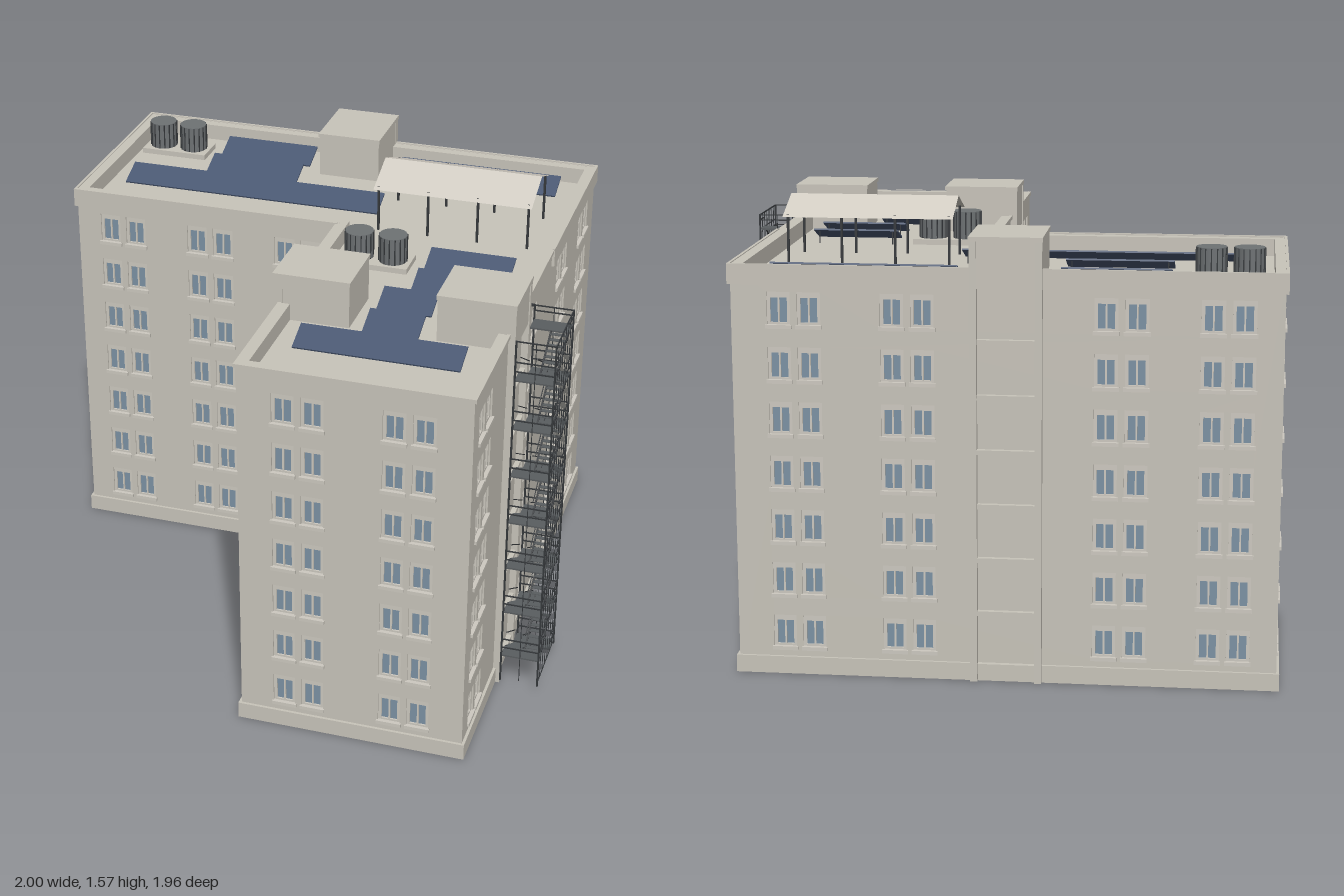
import * as THREE from 'three';
import { mergeGeometries } from 'three/addons/utils/BufferGeometryUtils.js';

const mat = (name, color, side = THREE.FrontSide) =>
  Object.assign(new THREE.MeshStandardMaterial({ color, side }), { name });

// plan limits of the L-shaped block
const L = -0.99, R = 0.83, B = -0.957, F = 0.97, CX = 0.035, CZ = -0.165;
const TOP = 1.405, ROOF = 1.345, FLOORS = 7, PITCH = 0.1855, WALL = 0.035;

export function createModel() {
  const M = {
    wall: mat('wall plaster', 0xc8c4ba),
    trim: mat('window trim', 0xcdc9c0),
    glass: mat('window glass', 0x7c92a4, THREE.DoubleSide),
    solar: mat('solar blue', 0x4a5872),
    tank: mat('tank grey', 0x6e7274),
    tread: mat('stair tread', 0x5a5e60),
    steel: mat('dark steel', 0x36393c),
    sheet: mat('canopy sheet', 0xd2cdc3, THREE.DoubleSide),
  };
  const root = new THREE.Group();
  root.name = 'apartmentBlock';
  const add = (name, geo, m, parent = root) => {
    const mesh = new THREE.Mesh(geo, m);
    mesh.name = name;
    parent.add(mesh);
    return mesh;
  };
  // box from its limits
  const span = (x0, x1, y0, y1, z0, z1) =>
    new THREE.BoxGeometry(x1 - x0, y1 - y0, z1 - z0)
      .translate((x0 + x1) / 2, (y0 + y1) / 2, (z0 + z1) / 2);
  // square bar between two points
  const bar = (a, b, r = 0.002) => {
    const p = new THREE.Vector3(...a), q = new THREE.Vector3(...b), d = q.clone().sub(p);
    const rot = new THREE.Quaternion().setFromUnitVectors(new THREE.Vector3(0, 1, 0), d.clone().normalize());
    return new THREE.BoxGeometry(r * 2, d.length(), r * 2).applyQuaternion(rot)
      .translate((p.x + q.x) / 2, (p.y + q.y) / 2, (p.z + q.z) / 2);
  };
  const rect = (T, x0, x1, y0, y1) => {
    const s = new T();
    s.moveTo(x0, y0); s.lineTo(x1, y0); s.lineTo(x1, y1); s.lineTo(x0, y1); s.closePath();
    return s;
  };
  const flat = (s, depth) => new THREE.ExtrudeGeometry(s, { depth, bevelEnabled: false });

  // window frame with two panes, origin at its lower middle
  const frameShape = rect(THREE.Shape, -0.039, 0.039, 0, 0.12);
  for (const s of [-1, 1]) {
    const c = s * 0.0155;
    frameShape.holes.push(rect(THREE.Path, c - 0.0125, c + 0.0125, 0.017, 0.1));
  }
  const frameGeo = flat(frameShape, 0.012).translate(0, 0, -0.018);
  const sillGeo = span(-0.044, 0.044, -0.003, 0.01, -0.012, 0.008);
  const glassGeo = span(-0.032, 0.032, 0.01, 0.108, -0.016, -0.012);

  // wall in its own frame: outside faces local +z, pairs are window pair centres
  const wall = (name, x, z, rotY, u0, u1, pairs, skip = () => false) => {
    const g = new THREE.Group();
    g.name = name;
    g.position.set(x, 0, z);
    g.rotation.y = rotY;
    root.add(g);
    const shape = rect(THREE.Shape, u0, u1, 0, TOP);
    const frames = [], sills = [], panes = [];
    for (let f = 0; f < FLOORS; f++) {
      for (const p of pairs) for (const s of [-1, 1]) {
        const u = p + s * 0.0505, y = 0.085 + f * PITCH;
        if (skip(u, f)) continue;
        shape.holes.push(rect(THREE.Path, u - 0.039, u + 0.039, y, y + 0.12));
        frames.push(frameGeo.clone().translate(u, y, 0));
        sills.push(sillGeo.clone().translate(u, y, 0));
        panes.push(glassGeo.clone().translate(u, y, 0));
      }
    }
    add('wallPanel', flat(shape, WALL).translate(0, 0, -WALL), M.wall, g);
    add('windowFrames', mergeGeometries(frames), M.trim, g);
    add('windowSills', mergeGeometries(sills), M.trim, g);
    add('windowGlass', mergeGeometries(panes), M.glass, g);
    return g;
  };
  const H = Math.PI / 2;
  wall('frontWall', 0, F, 0, CX, R, [0.243, 0.62]);
  wall('courtFrontWall', 0, CZ, 0, L, CX + WALL, [-0.81, -0.463, -0.12], (u, f) => f === 0 && u > -0.1);
  const right = wall('rightWall', R, 0, H, -F, -B, [-0.807, -0.148, 0.367, 0.752]);
  const back = wall('backWall', 0, B, Math.PI, -R, -L, [-0.62, -0.243, 0.463, 0.81]);
  wall('leftWall', L, 0, -H, B, CZ, [-0.752, -0.367]);
  const court = wall('courtSideWall', CX, 0, -H, CZ, F, [0.148, 0.807]);

  // service shafts: pilasters, floor ledges and roof housing
  const shaft = (g, u) => {
    const parts = [-1, 1].map(s => span(u + s * 0.108 - 0.012, u + s * 0.108 + 0.012, 0, 1.5, -0.01, 0.024));
    for (let f = 0; f <= FLOORS; f++) {
      const y = 0.045 + f * PITCH;
      parts.push(span(u - 0.1, u + 0.1, y, y + 0.016, -0.01, 0.018));
    }
    add('shaftPilasters', mergeGeometries(parts), M.wall, g);
    add('roofHousing', span(u - 0.118, u + 0.118, ROOF, 1.5, -0.245, 0.02), M.wall, g);
    add('housingCap', span(u - 0.122, u + 0.122, 1.5, 1.515, -0.249, 0.026), M.wall, g);
  };
  shaft(right, -0.39);
  shaft(court, 0.39);
  shaft(back, 0.085);

  // roof decks
  add('backRoof', span(L + 0.01, R - 0.01, ROOF - 0.015, ROOF, B + 0.01, CZ - 0.01), M.wall);
  add('frontRoof', span(CX + 0.01, R - 0.01, ROOF - 0.015, ROOF, CZ - 0.01, F - 0.01), M.wall);

  // plinth and parapet lip follow the L plan
  const outline = (T, o) => {
    const s = new T();
    [[L - o, B - o], [R + o, B - o], [R + o, F + o], [CX - o, F + o], [CX - o, CZ + o], [L - o, CZ + o]]
      .forEach(([x, z], i) => (i ? s.lineTo(x, -z) : s.moveTo(x, -z)));
    s.closePath();
    return s;
  };
  const ring = (name, out, y0, y1) => {
    const s = outline(THREE.Shape, out);
    s.holes.push(outline(THREE.Path, -0.005));
    add(name, flat(s, y1 - y0).rotateX(-H).translate(0, y0, 0), M.wall);
  };
  ring('plinth', 0.01, 0, 0.06);
  ring('parapetLip', 0.007, 1.394, 1.408);
  const band = [[L - 0.01, R + 0.01, B - 0.01, B], [L - 0.01, L, B, CZ], [R, R + 0.01, B, CZ - 0.01],
    [L - 0.01, CX, CZ, CZ + 0.01]];
  add('corniceBand', mergeGeometries(band.map(([x0, x1, z0, z1]) => span(x0, x1, 1.342, 1.411, z0, z1))), M.wall);

  // corner entrance: steps, canopy, posts and door
  add('entranceSteps', mergeGeometries([span(-0.115, CX, 0, 0.035, CZ, -0.1), span(-0.025, CX, 0, 0.035, -0.1, -0.02),
    span(-0.095, CX, 0.035, 0.065, CZ, -0.11)]), M.wall);
  add('entranceCanopy', mergeGeometries([span(-0.125, CX, 0.197, 0.212, CZ, -0.1),
    span(-0.025, CX, 0.197, 0.212, -0.1, -0.02)]), M.wall);
  add('entrancePosts', mergeGeometries([bar([-0.09, 0.06, -0.112], [-0.09, 0.2, -0.112], 0.003),
    bar([-0.015, 0.03, -0.03], [-0.015, 0.2, -0.03], 0.003)]), M.steel);
  add('entranceDoor', span(-0.085, 0.02, 0.065, 0.19, CZ, CZ + 0.006), M.trim);

  // solar panels, low edge to the front: x0, x1, z0, z1
  const panels = [[-0.62, -0.255, -0.85, -0.745], [-0.62, -0.255, -0.67, -0.567], [-0.885, 0.12, -0.495, -0.39],
    [0.09, 0.72, -0.85, -0.745], [0.41, 0.72, -0.09, 0.018], [0.41, 0.72, 0.09, 0.195],
    [0.335, 0.53, 0.265, 0.367], [0.335, 0.53, 0.44, 0.545], [0.145, 0.72, 0.617, 0.72]];
  const sheets = [], legs = [];
  for (const [x0, x1, z0, z1] of panels) {
    sheets.push(new THREE.BoxGeometry(x1 - x0, 0.006, 0.11).rotateX(0.37)
      .translate((x0 + x1) / 2, 1.377, (z0 + z1) / 2));
    for (const x of [x0 + 0.02, x1 - 0.02]) legs.push(bar([x, ROOF, z0 + 0.012], [x, 1.39, z0 + 0.012]));
  }
  add('solarPanels', mergeGeometries(sheets), M.solar);
  add('solarLegs', mergeGeometries(legs), M.steel);

  // water tanks with upright ribs, on low bases
  for (const [x, z] of [[-0.808, -0.772], [0.225, -0.013]]) {
    add('tankBase', span(x - 0.13, x + 0.13, ROOF, 1.365, z - 0.065, z + 0.065), M.wall);
    for (const s of [-1, 1]) {
      const tx = x + s * 0.0625, ribs = [];
      add('waterTank', new THREE.CylinderGeometry(0.051, 0.051, 0.1, 24).translate(tx, 1.415, z), M.tank);
      for (let i = 0; i < 16; i++) {
        const a = i * Math.PI / 8, px = tx + 0.051 * Math.cos(a), pz = z + 0.051 * Math.sin(a);
        ribs.push(bar([px, 1.366, pz], [px, 1.463, pz]));
      }
      add('tankRibs', mergeGeometries(ribs), M.steel);
    }
  }

  // gabled roof shelter on posts
  const slope = Math.atan2(0.062, 0.16);
  for (const s of [-1, 1]) {
    add('shelterSlope', new THREE.PlaneGeometry(0.59, Math.hypot(0.062, 0.16)).rotateX(-H).rotateX(s * slope)
      .translate(0.435, 1.543, -0.425 + s * 0.08), M.sheet);
    const posts = [0.155, 0.342, 0.528, 0.715].map(x =>
      bar([x, ROOF, -0.425 + s * 0.138], [x, 1.52, -0.425 + s * 0.138], 0.004));
    add('shelterPosts', mergeGeometries(posts), M.steel);
  }

  // fire escape: switchback flights, landings, posts and railings
  const steel = [], treads = [];
  const X0 = 0.862, X1 = 0.997, Z0 = 0.253, Z1 = 0.533, S0 = 0.32, S1 = 0.475;
  for (const x of [X0, X1]) for (const z of [Z0, Z1]) steel.push(bar([x, 0.03, z], [x, 1.4, z], 0.003));
  for (let i = 1; i < 7; i++) {
    const z = Z0 + (Z1 - Z0) * i / 7;
    steel.push(bar([X1, 0.045, z], [X1, 1.4, z], 0.0013));
  }
  for (const z of [Z0, Z1]) steel.push(bar([0.93, 0.04, z], [0.93, 1.4, z], 0.0013));
  const half = PITCH / 2;
  for (let k = 0; k < 15; k++) {
    const y = 0.045 + k * half, near = k % 2 === 0;
    const [a, b] = near ? [Z0, S0] : [S1, Z1], end = near ? Z0 : Z1;
    // landing with guard rails
    treads.push(span(X0, X1, y - 0.003, y + 0.003, a, b));
    for (const h of [0.035, 0.07]) {
      if (y + h > 1.4) continue;
      steel.push(bar([X0, y + h, end], [X1, y + h, end]), bar([X1, y + h, a], [X1, y + h, b]));
    }
    if (near) steel.push(bar([X1, y, Z0], [X1, y, Z1], 0.0015));
    if (k === 14) break;
    // flight up to the next landing
    const [x0, x1] = near ? [0.866, 0.924] : [0.935, 0.993];
    const [s, e] = near ? [S0, S1] : [S1, S0];
    for (let t = 0; t < 8; t++) {
      const z = s + (e - s) * (t + 0.5) / 8, ty = y + half * (t + 0.5) / 8;
      treads.push(span(x0, x1, ty - 0.0015, ty + 0.0015, z - 0.008, z + 0.008));
    }
    for (const x of [x0, x1]) {
      steel.push(bar([x, y, s], [x, y + half, e], 0.003));
      if (y + half + 0.06 < 1.4) steel.push(bar([x, y + 0.06, s], [x, y + half + 0.06, e], 0.0015));
    }
  }
  for (const z of [Z0, Z1]) steel.push(bar([X0, 1.398, z], [X1, 1.398, z]));
  steel.push(bar([X1, 1.398, Z0], [X1, 1.398, Z1]), bar([0.79, 1.4, 0.258], [X0, 1.4, 0.258], 0.004));
  add('fireEscapeFrame', mergeGeometries(steel), M.steel);
  add('fireEscapeTreads', mergeGeometries(treads), M.tread);

  return root;
}
